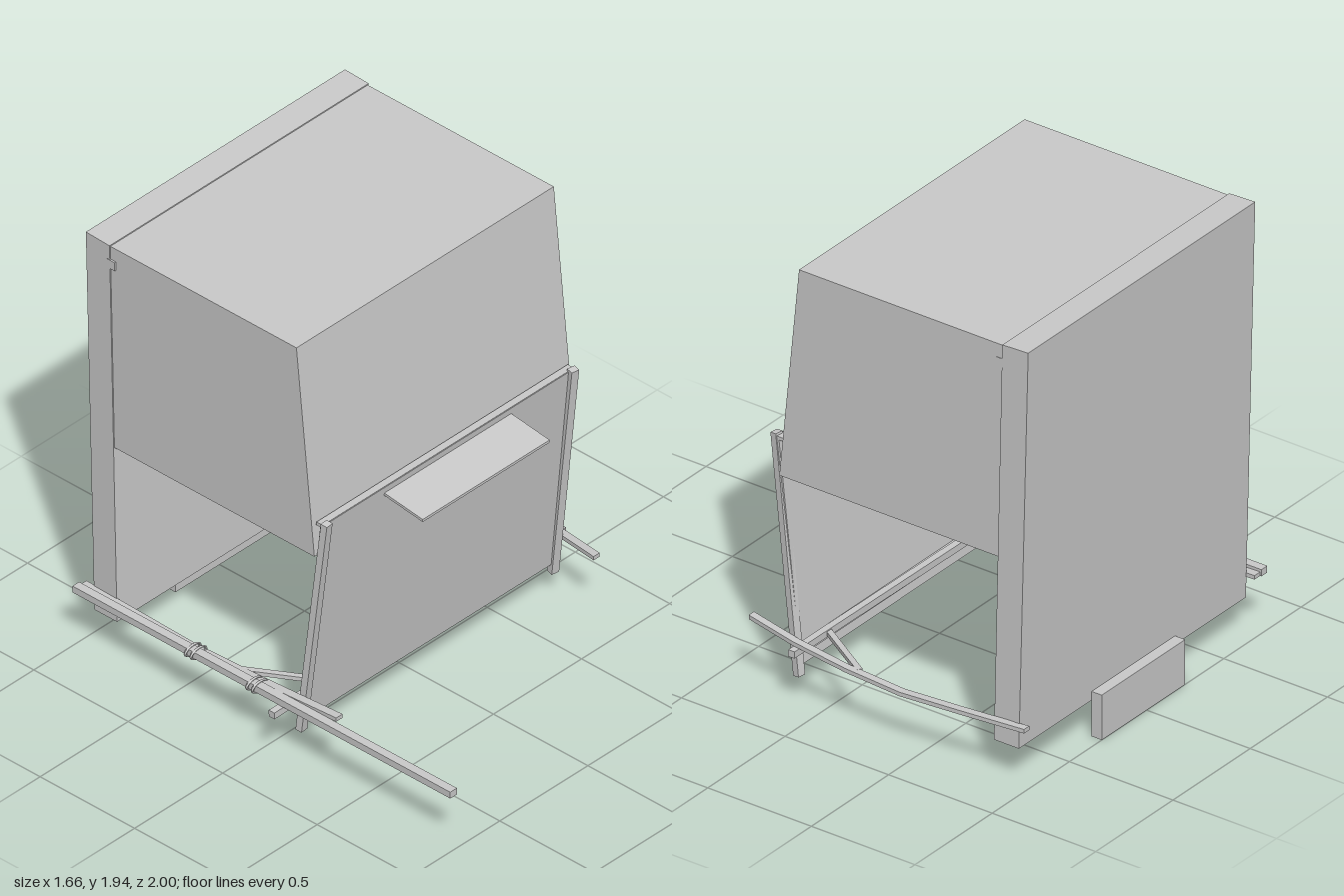
import * as THREE from 'three';

const mat = new THREE.MeshStandardMaterial({ color: 0xcccccc, flatShading: true, side: THREE.DoubleSide });
const v = (x, y, z) => new THREE.Vector3(x, y, z);

export function createModel() {
  const model = new THREE.Group();
  const add = (name, geo) => {
    const m = new THREE.Mesh(geo, mat);
    m.name = name;
    model.add(m);
    return m;
  };

  // side profile given as [z, y] points, extruded from x0 to x1
  const prism = (name, pts, x0, x1) => {
    const shape = new THREE.Shape(pts.map(([z, y]) => new THREE.Vector2(z, y)));
    const geo = new THREE.ExtrudeGeometry(shape, { depth: x1 - x0, bevelEnabled: false });
    geo.rotateY(-Math.PI / 2).translate(x1, 0, 0);
    return add(name, geo);
  };

  // square-cut bar between two points
  const beam = (name, a, b, w, h) => {
    const m = add(name, new THREE.BoxGeometry(w, h, a.distanceTo(b)));
    m.position.copy(a).lerp(b, 0.5);
    m.lookAt(b);
    return m;
  };

  // upper cabinet with leaning front, and tall back panel
  prism('cabinet', [[0.21, 0.98], [0.115, 1.93], [-0.87, 1.93], [-0.85, 0.98]], -0.705, 0.755);
  prism('backPanel', [[-0.83, 0.16], [-0.87, 1.935], [-0.995, 1.94], [-0.95, 0.16]], -0.71, 0.76);
  prism('rearPlate', [[-0.95, 0], [-0.95, 0.2], [-1, 0.2], [-1, 0]], -0.25, 0.29);

  // leaning front apron with top lip and bottom rail
  prism('frontApron', [[0.135, 0.155], [0.243, 1.135], [0.228, 1.135], [0.12, 0.155]], -0.69, 0.735);
  prism('apronLip', [[0.238, 1.122], [0.24, 1.137], [0.207, 1.137], [0.205, 1.122]], -0.69, 0.735);
  prism('apronRail', [[0.13, 0.225], [0.133, 0.25], [0.09, 0.25], [0.09, 0.225]], -0.67, 0.72);

  // corner posts
  beam('frontPost', v(-0.69, 0.11, 0.127), v(-0.68, 1.145, 0.252), 0.036, 0.03);
  beam('frontPost', v(0.738, 0.11, 0.127), v(0.718, 1.145, 0.252), 0.036, 0.03);

  // sloping shelf on the apron
  prism('shelf', [[0.235, 1.095], [0.235, 1.107], [0.443, 1.08], [0.443, 1.068]], -0.34, 0.38);

  // crossbar under the front, with diagonal braces to the side bars
  beam('crossbar', v(-0.83, 0.238, 0.1), v(0.825, 0.252, 0.1), 0.03, 0.03);
  for (const s of [-1, 1]) {
    beam('brace', v(0.025 + s * 0.565, 0.25, 0.1), v(0.025 + s * 0.76, 0.26, -0.2), 0.025, 0.018);
  }

  // vertical sag shared by the side bars
  const sag = z => (z > -0.42 ? 0.25 + 0.045 * Math.pow((z + 0.42) / 0.78, 1.3) : 0.25 + 0.015 * (-0.42 - z) / 0.58);

  // bar following [x, z] points, sagging along its length
  const sideBar = (name, path, w, h) => {
    const pos = [], idx = [], n = path.length;
    path.forEach(([x, z]) => {
      for (const [i, j] of [[-1, -1], [1, -1], [1, 1], [-1, 1]]) pos.push(x + i * w / 2, sag(z) + j * h / 2, z);
    });
    for (let k = 0; k < n - 1; k++) {
      for (let c = 0; c < 4; c++) {
        const a = k * 4 + c, b = k * 4 + (c + 1) % 4;
        idx.push(a, a + 4, b, b, a + 4, b + 4);
      }
    }
    const e = (n - 1) * 4;
    idx.push(0, 1, 2, 0, 2, 3, e, e + 2, e + 1, e, e + 3, e + 2);
    const geo = new THREE.BufferGeometry();
    geo.setAttribute('position', new THREE.Float32BufferAttribute(pos, 3));
    geo.setIndex(idx);
    const flat = geo.toNonIndexed();
    flat.computeVertexNormals();
    add(name, flat);
  };
  sideBar('bowedSideBar', [[0.735, 0.36], [0.775, 0.12], [0.798, -0.15], [0.805, -0.42], [0.79, -0.7], [0.77, -0.995]], 0.034, 0.018);
  sideBar('straightSideBar', [[-0.724, 0.36], [-0.724, 0.12], [-0.724, -0.15], [-0.724, -0.42], [-0.724, -0.995]], 0.036, 0.018);

  // long pole lashed to the side bar
  beam('longPole', v(-0.762, 0.27, -1), v(-0.762, 0.27, 1), 0.038, 0.03);
  for (const z of [-0.39, -0.36, -0.065, -0.035]) {
    const ring = new THREE.TorusGeometry(1, 0.13, 6, 16);
    ring.scale(0.043, 0.022, 0.05);
    add('lashing', ring).position.set(-0.752, 0.267, z);
  }

  // small fittings below the cabinet
  for (const x of [0.4, 0.52]) {
    beam('undersideRunner', v(x, 0.972, -0.34), v(x, 0.972, -0.13), 0.025, 0.02);
  }
  for (const z of [-0.29, -0.19]) {
    beam('undersideSlat', v(0.37, 0.966, z), v(0.55, 0.966, z), 0.025, 0.014);
  }
  const disc = add('undersideDisc', new THREE.CylinderGeometry(0.1, 0.1, 0.012, 20));
  disc.position.set(0.12, 0.972, -0.24);
  const lever = beam('undersideLever', v(0.12, 0.975, -0.31), v(0.12, 0.93, -0.275), 0.03, 0.01);
  lever.rotation.z = 0;

  // small side hinges
  for (const x of [-0.708, 0.752]) {
    add('hinge', new THREE.BoxGeometry(0.01, 0.04, 0.04)).position.set(x, 1.85, -0.86);
  }
  return model;
}
